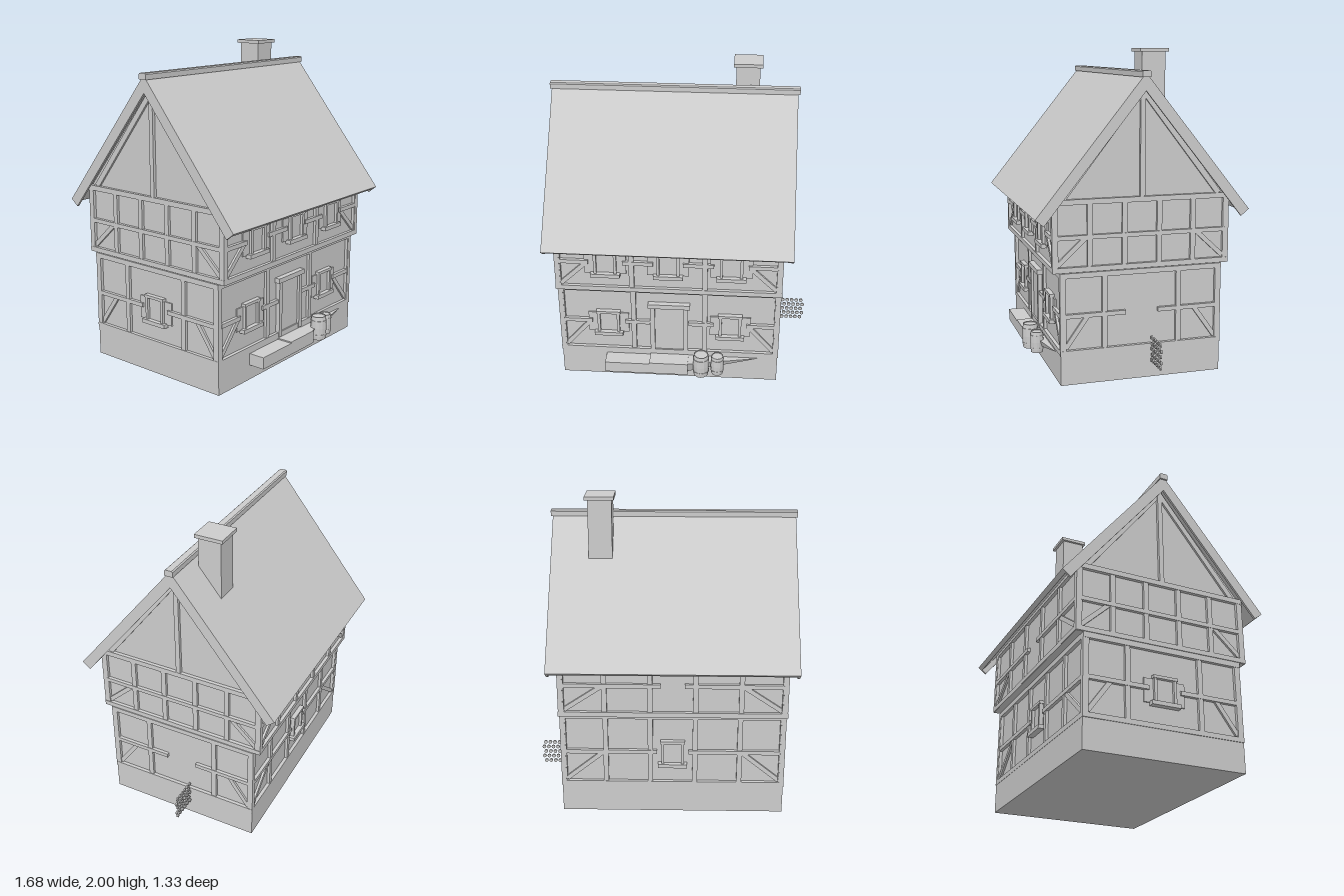
import * as THREE from 'three';

const plaster = new THREE.MeshStandardMaterial({ color: 0xcccccc });
plaster.name = 'light grey';

const CX = -0.066;   // house centre in x
const HALF = 0.709;  // half length of the house
const SLOPE = 1.244; // roof rise over run

function add(parent, name, geometry, x = 0, y = 0, z = 0) {
  const mesh = new THREE.Mesh(geometry, plaster);
  mesh.name = name;
  mesh.position.set(x, y, z);
  parent.add(mesh);
  return mesh;
}

// Box given by its limits on each axis
function block(parent, name, x0, x1, y0, y1, z0, z1) {
  return add(parent, name, new THREE.BoxGeometry(x1 - x0, y1 - y0, z1 - z0),
    (x0 + x1) / 2, (y0 + y1) / 2, (z0 + z1) / 2);
}

// Profile in (z, y) extruded along x
function alongX(parent, name, points, x0, x1) {
  const shape = new THREE.Shape(points.map(([z, y]) => new THREE.Vector2(z, y)));
  const geometry = new THREE.ExtrudeGeometry(shape, { depth: x1 - x0, bevelEnabled: false });
  geometry.rotateY(Math.PI / 2);
  return add(parent, name, geometry, x0, 0, 0);
}

// Timber between two points of a wall
function timber(parent, name, ax, ay, bx, by, width, depth) {
  const mesh = add(parent, name, new THREE.BoxGeometry(Math.hypot(bx - ax, by - ay), width, depth),
    (ax + bx) / 2, (ay + by) / 2, depth / 2 - 0.006);
  mesh.rotation.z = Math.atan2(by - ay, bx - ax);
}

// Window facing +z, centred on (x, y) of its wall
function addWindow(wall, x, y, shutters) {
  const g = new THREE.Group();
  g.name = 'window';
  g.position.set(x, y, 0);
  wall.add(g);
  block(g, 'pane', -0.06, 0.06, -0.07, 0.08, -0.005, 0.008);
  block(g, 'lintel', -0.078, 0.078, 0.074, 0.092, 0, 0.03);
  block(g, 'sill', -0.093, 0.093, -0.092, -0.067, 0, 0.038);
  for (const s of [-1, 1]) {
    const jamb = 0.063 * s;
    block(g, 'jamb', jamb - 0.009, jamb + 0.009, -0.07, 0.076, 0, 0.026);
    if (shutters) block(g, 'shutter', 0.1 * s - 0.031, 0.1 * s + 0.031, -0.074, 0.072, 0, 0.009);
  }
}

// Timber frame of one wall; rails are [from, to], mirrored about the middle
function frame(house, name, angle, dist, half, y0, y1, posts, rails, braceEnd) {
  const g = new THREE.Group();
  g.name = name;
  g.position.x = CX;
  g.rotation.y = angle;
  house.add(g);
  const inner = new THREE.Group();
  inner.name = 'timbers';
  inner.position.z = dist;
  g.add(inner);
  const bottom = y0 + 0.03, top = y1 - 0.032;
  const railY = y0 + (y0 > 0.5 ? 0.207 : 0.24);
  block(inner, 'sill beam', -half, half, y0, bottom, -0.01, 0.022);
  block(inner, 'top plate', -half, half, top, y1, -0.01, 0.022);
  for (const s of [-1, 1]) {
    const corner = s * (half - 0.0185);
    block(inner, 'corner post', corner - 0.0185, corner + 0.0185, bottom, top, -0.01, 0.02);
    for (const p of posts)
      block(inner, 'post', s * p - 0.016, s * p + 0.016, bottom, top, -0.01, 0.018);
    for (const [a, b] of rails)
      block(inner, 'rail', Math.min(s * a, s * b), Math.max(s * a, s * b),
        railY - 0.013, railY + 0.013, -0.01, 0.021);
    timber(inner, 'brace', s * (half - 0.035), bottom + 0.012, s * braceEnd, railY - 0.005, 0.028, 0.02);
  }
  return inner;
}

function barrel(parent, x, z, radius, height) {
  const g = new THREE.Group();
  g.name = 'barrel';
  g.position.set(x, 0.095, z);
  parent.add(g);
  const profile = [[0, 0], [0.88, 0], [0.97, 0.25], [1, 0.5], [0.97, 0.75], [0.88, 1],
    [0.8, 1], [0.8, 0.96], [0, 0.96]]
    .map(([r, y]) => new THREE.Vector2(r * radius, y * height));
  const geometry = new THREE.LatheGeometry(profile, 14).toNonIndexed();
  geometry.computeVertexNormals();
  add(g, 'barrel body', geometry);
  for (const t of [0.2, 0.8])
    add(g, 'hoop', new THREE.CylinderGeometry(radius, radius, 0.01, 14, 1), 0, t * height, 0);
}

export function createModel() {
  const house = new THREE.Group();
  house.name = 'timberFramedHouse';

  // Walls
  block(house, 'stone base', CX - HALF, CX + HALF, 0, 0.185, -0.51, 0.51);
  block(house, 'lower walls', CX - 0.692, CX + 0.692, 0.185, 0.692, -0.49, 0.49);
  alongX(house, 'upper walls and gables',
    [[-0.535, 0.692], [0.535, 0.692], [0.535, 1.14], [0, 1.805], [-0.535, 1.14]],
    CX - 0.692, CX + 0.692);
  block(house, 'jetty floor', CX - HALF, CX + HALF, 0.692, 0.7, -0.555, 0.555);

  // Front and back frames
  const half = HALF + 0.003;
  const front = frame(house, 'lower front frame', 0, 0.49, half, 0.185, 0.69,
    [0.23], [[0.5, 0.68], [0.125, 0.286]], 0.51);
  const frontUp = frame(house, 'upper front frame', 0, 0.535, half, 0.695, 1.13,
    [0.23], [[0.5, 0.68], [0.094, 0.286]], 0.51);
  const back = frame(house, 'lower back frame', Math.PI, 0.49, half, 0.185, 0.69,
    [0.142, 0.425], [[0.1, 0.68]], 0.44);
  frame(house, 'upper back frame', Math.PI, 0.535, half, 0.695, 1.13,
    [0.142, 0.425], [[0.075, 0.68]], 0.44);

  // End frames with gable timbers
  for (const s of [-1, 1]) {
    const lower = frame(house, 'lower end frame', s * Math.PI / 2, 0.692, 0.512, 0.185, 0.69,
      [0.235], [[0.103, 0.48]], 0.34);
    if (s < 0) addWindow(lower, 0, 0.413, true);
    const upper = frame(house, 'upper end frame', s * Math.PI / 2, 0.692, 0.557, 0.695, 1.13,
      [0.109, 0.325], [[0, 0.53]], 0.35);
    block(upper, 'king post', -0.015, 0.015, 1.12, 1.775, -0.01, 0.02);
    for (const m of [-1, 1])
      timber(upper, 'gable rafter', m * 0.49, 1.13, 0, 1.762, 0.035, 0.02);
  }

  // Windows
  for (const x of [-0.394, 0.394]) addWindow(front, x, 0.413, true);
  for (const x of [-0.394, 0, 0.394]) addWindow(frontUp, x, 0.893, true);
  addWindow(back, 0, 0.413, false);

  // Door
  block(front, 'door', -0.1, 0.1, 0.19, 0.55, 0, 0.012);
  for (const s of [-1, 1])
    block(front, 'door jamb', s * 0.107 - 0.015, s * 0.107 + 0.015, 0.185, 0.55, 0, 0.028);
  block(front, 'door lintel', -0.135, 0.135, 0.547, 0.578, 0, 0.036);

  // Roof: slab, barge boards, ridge
  const chevron = (drop, inner) => {
    const eave = (d) => [0.667 - d * 0.488, 1.03 - d * 0.392];
    const [za, ya] = eave(drop), [zb, yb] = eave(inner);
    return [[-zb, yb], [0, yb + zb * SLOPE], [zb, yb], [za, ya], [0, ya + za * SLOPE], [-za, ya]];
  };
  alongX(house, 'roof slab', chevron(0, 0.048), -0.83, 0.7);
  alongX(house, 'barge board', chevron(0.046, 0.104), -0.83, -0.815);
  alongX(house, 'barge board', chevron(0.046, 0.104), 0.685, 0.7);
  alongX(house, 'ridge cap',
    [[-0.027, 1.835], [0.027, 1.835], [0.027, 1.866], [0.02, 1.873], [-0.02, 1.873], [-0.027, 1.866]],
    -0.84, 0.712);

  // Chimney
  block(house, 'chimney', 0.315, 0.463, 1.5, 1.98, -0.201, -0.053);
  block(house, 'chimney cap', 0.3, 0.48, 1.978, 2, -0.218, -0.037);

  // Steps and tapering ramp along the front
  block(house, 'low step', -0.48, -0.19, 0.095, 0.17, 0.5, 0.615);
  block(house, 'door step', -0.19, 0.06, 0.095, 0.178, 0.5, 0.615);
  const ramp = new THREE.BoxGeometry(0.45, 0.08, 0.1);
  const p = ramp.attributes.position;
  for (let i = 0; i < p.count; i++) {
    if (p.getX(i) > 0) {
      p.setY(i, p.getY(i) > 0 ? 0.04 : 0.038);
      if (p.getZ(i) > 0) p.setZ(i, -0.04);
    } else if (p.getY(i) < 0 && p.getZ(i) > 0) p.setZ(i, 0.02);
  }
  const flat = ramp.toNonIndexed();
  flat.computeVertexNormals();
  add(house, 'ramp', flat, 0.285, 0.135, 0.555);

  // Barrels
  barrel(house, 0.147, 0.592, 0.053, 0.158);
  barrel(house, 0.252, 0.572, 0.043, 0.135);

  // Staggered stack of log ends beside the house
  const logs = new THREE.Group();
  logs.name = 'log stack';
  house.add(logs);
  const log = new THREE.CylinderGeometry(0.0125, 0.0125, 0.01, 8);
  log.rotateX(Math.PI / 2);
  for (let row = 0; row < 5; row++)
    for (let col = 0; col < 6; col++)
      add(logs, 'log', log, 0.657 + col * 0.0315 + (row % 2) * 0.012, 0.111 + row * 0.0355, -0.06);

  return house;
}
